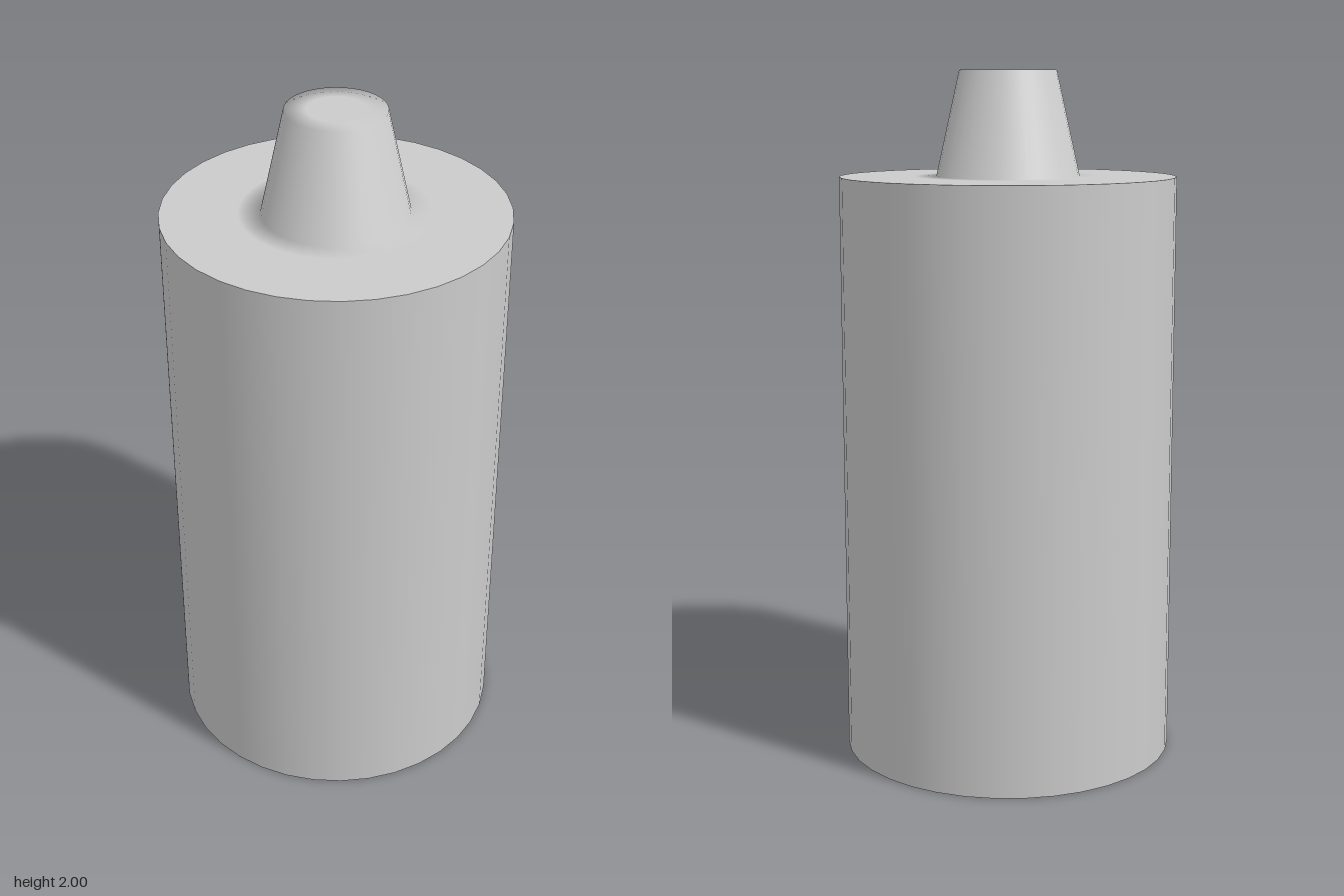
import * as THREE from 'three';

const SIDES = 36;
const BODY_RADIUS = 0.485;
const BODY_HEIGHT = 1.7;

export function createModel() {
  const model = new THREE.Group();
  const material = new THREE.MeshStandardMaterial({ color: 0xcccccc });

  function addPart(name, geometry) {
    const mesh = new THREE.Mesh(geometry, material);
    mesh.name = name;
    model.add(mesh);
    return mesh;
  }

  // Straight body wall
  const wall = new THREE.CylinderGeometry(BODY_RADIUS, BODY_RADIUS, BODY_HEIGHT, SIDES, 1, true);
  addPart('bodyWall', wall).position.y = BODY_HEIGHT / 2;

  // Flat underside
  addPart('base', new THREE.CircleGeometry(BODY_RADIUS, SIDES).rotateX(Math.PI / 2));

  // Flat shoulder flowing with smooth shading into the tapered neck and its flat tip
  const profile = [
    [BODY_RADIUS, BODY_HEIGHT],
    [0.27, BODY_HEIGHT],
    [0.207, BODY_HEIGHT],
    [0.14, 2],
    [0.08, 2],
    [0, 2],
  ].map(([r, y]) => new THREE.Vector2(r, y));
  addPart('shoulderAndNeck', new THREE.LatheGeometry(profile, SIDES));

  return model;
}
